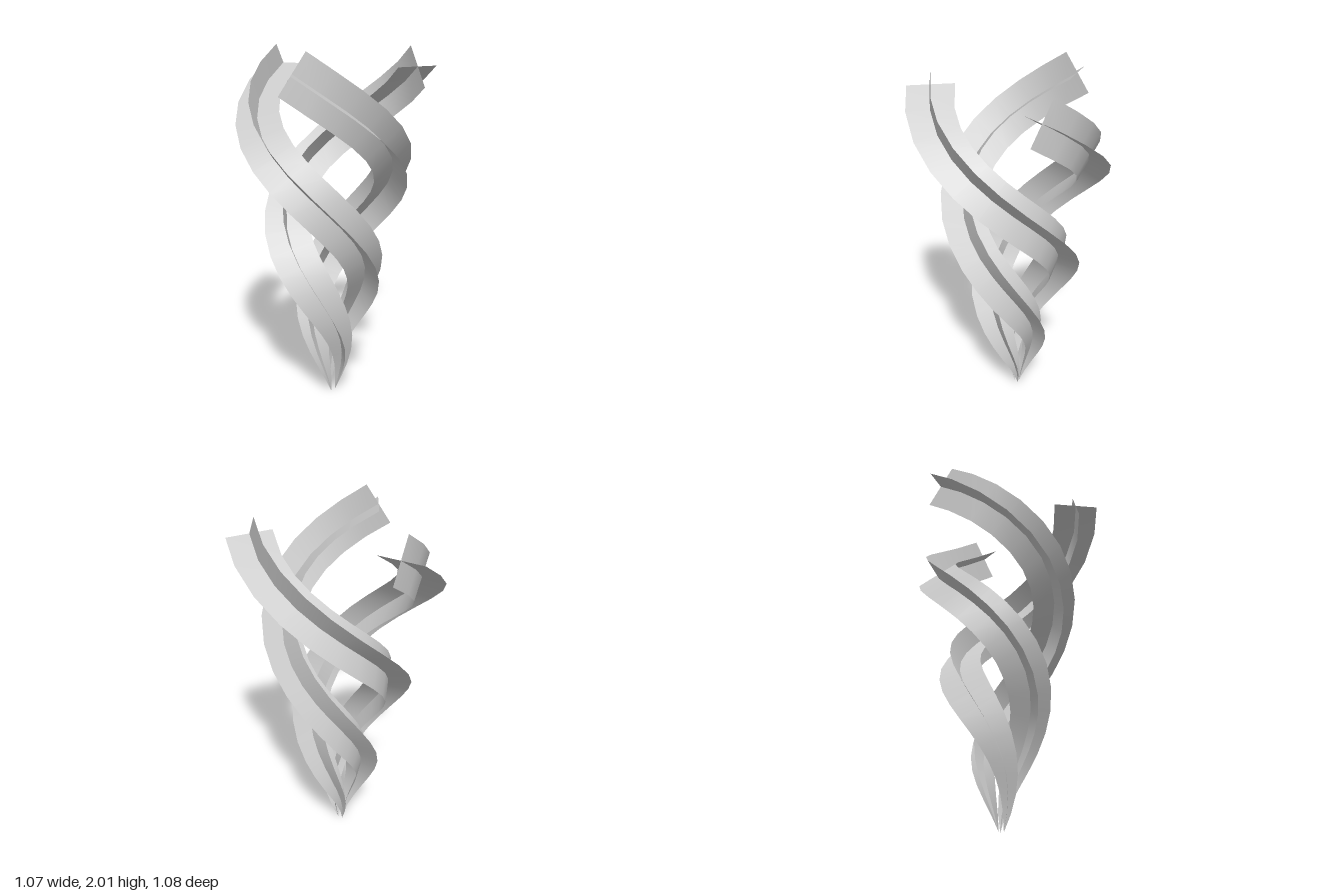
import * as THREE from 'three';

const SEGMENTS = 21;
const HEIGHT = 1.9;
const TURN = Math.PI * 2;
const AXIS_X = -0.057;
const END_ANGLE = THREE.MathUtils.degToRad(11.6);
const END_HEADING = THREE.MathUtils.degToRad(-12.4);

// Widening spiral that every arm follows
function pathPoint(t) {
  const y = HEIGHT * t;
  const angle = END_ANGLE - TURN * (1 - t);
  const radius = 0.015 + 0.238 * y;
  return new THREE.Vector3(radius * Math.cos(angle), y, radius * Math.sin(angle));
}

// Cross-sections carried down from the top end without twisting about the path
function buildSections() {
  const c = Math.cos(END_HEADING);
  const s = Math.sin(END_HEADING);
  const slope = 1.56;
  let tangent = new THREE.Vector3(-s * slope, 1, c * slope).normalize();
  const across = new THREE.Vector3(c, 0, s);
  const fin = new THREE.Vector3(s, slope, -c).normalize();
  const turn = new THREE.Quaternion();
  const sections = [];
  for (let i = SEGMENTS; i >= 0; i--) {
    const t = i / SEGMENTS;
    if (i < SEGMENTS) {
      const next = pathPoint(t + 0.01).sub(pathPoint(t - 0.01)).normalize();
      turn.setFromUnitVectors(tangent, next);
      across.applyQuaternion(turn);
      fin.applyQuaternion(turn);
      tangent = next;
    }
    sections.push({
      centre: pathPoint(t),
      half: 0.127 * Math.sin((Math.PI / 2) * Math.min(1, (HEIGHT * t) / 0.9)),
      across: across.clone(),
      fin: fin.clone(),
    });
  }
  return sections;
}

// Thin ribbon swept along the spiral in one of the two crossing directions
function ribbonGeometry(sections, direction) {
  const positions = [];
  const index = [];
  sections.forEach((section, i) => {
    for (const side of [-1, 1]) {
      const p = section.centre.clone().addScaledVector(section[direction], side * section.half);
      positions.push(p.x, p.y, p.z);
    }
    if (i < SEGMENTS) {
      const a = i * 2;
      index.push(a, a + 1, a + 2, a + 1, a + 3, a + 2);
    }
  });
  const geometry = new THREE.BufferGeometry();
  geometry.setAttribute('position', new THREE.Float32BufferAttribute(positions, 3));
  geometry.setIndex(index);
  geometry.computeVertexNormals();
  return geometry;
}

export function createModel() {
  const model = new THREE.Group();
  model.name = 'spiralSculpture';
  const material = new THREE.MeshStandardMaterial({ color: 0xcccccc, side: THREE.DoubleSide });
  const sections = buildSections();
  const flat = ribbonGeometry(sections, 'across');
  const upright = ribbonGeometry(sections, 'fin');

  // Three equal arms around the axis, each a flat ribbon crossed by a fin
  for (let k = 0; k < 3; k++) {
    const arm = new THREE.Group();
    arm.name = `spiralArm${k + 1}`;
    const ribbon = new THREE.Mesh(flat, material);
    ribbon.name = 'flatRibbon';
    const fin = new THREE.Mesh(upright, material);
    fin.name = 'uprightFin';
    arm.add(ribbon, fin);
    arm.position.x = AXIS_X;
    arm.rotation.y = (k * TURN) / 3;
    model.add(arm);
  }
  return model;
}
